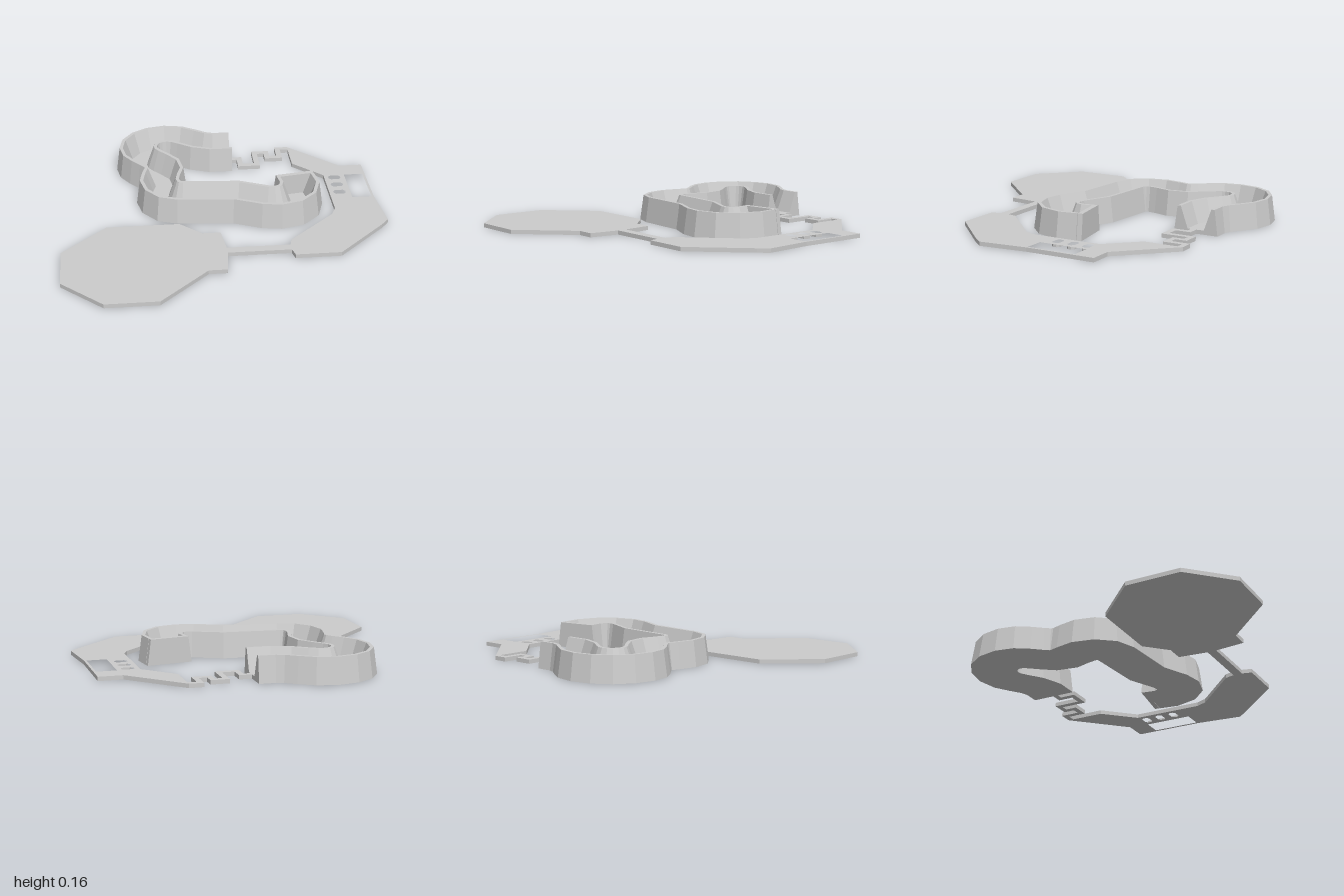
import * as THREE from 'three';

const PLATE = 0.025; // plate thickness
const WALL = 0.157; // channel wall height

const grey = () => new THREE.MeshStandardMaterial({ color: 0xcccccc, flatShading: true });

function addMesh(parent, name, geometry) {
  const mesh = new THREE.Mesh(geometry, grey());
  mesh.name = name;
  parent.add(mesh);
  return mesh;
}

// Sweeps a closed (side, height) profile along a flat (x, z) path with mitred corners.
// caps lists the quads of profile indices that close both ends.
function sweep(path, profile, caps) {
  const pts = path.map(([x, z]) => new THREE.Vector2(x, z));
  const dirs = pts.slice(1).map((p, i) => p.clone().sub(pts[i]).normalize());
  const rings = pts.map((p, i) => {
    const a = dirs[Math.max(i - 1, 0)];
    const b = dirs[Math.min(i, dirs.length - 1)];
    const t = a.clone().add(b).normalize();
    const mitre = 1 / t.dot(a);
    return profile.map(([s, y]) => [p.x - t.y * s * mitre, y, p.y + t.x * s * mitre]);
  });
  const pos = [];
  const quad = (a, b, c, d) => pos.push(...a, ...b, ...c, ...a, ...c, ...d);
  const n = profile.length;
  for (let i = 0; i < rings.length - 1; i++) {
    for (let j = 0; j < n; j++) {
      const k = (j + 1) % n;
      quad(rings[i][j], rings[i][k], rings[i + 1][k], rings[i + 1][j]);
    }
  }
  const first = rings[0];
  const last = rings[rings.length - 1];
  for (const [a, b, c, d] of caps) {
    quad(first[d], first[c], first[b], first[a]);
    quad(last[a], last[b], last[c], last[d]);
  }
  const geometry = new THREE.BufferGeometry();
  geometry.setAttribute('position', new THREE.Float32BufferAttribute(pos, 3));
  geometry.computeVertexNormals();
  return geometry;
}

const outline = (points) => points.map(([x, z]) => new THREE.Vector2(x, -z));

// Rectangular hole with chamfered corners
function slot(x0, x1, z0, z1, c) {
  return new THREE.Path(outline([
    [x0 + c, z0], [x1 - c, z0], [x1, z0 + c], [x1, z1 - c],
    [x1 - c, z1], [x0 + c, z1], [x0, z1 - c], [x0, z0 + c],
  ]));
}

function plateGeometry(points, holes = []) {
  const shape = new THREE.Shape(outline(points));
  shape.holes.push(...holes);
  const geometry = new THREE.ExtrudeGeometry(shape, { depth: PLATE, bevelEnabled: false });
  return geometry.rotateX(-Math.PI / 2);
}

export function createModel() {
  const model = new THREE.Group();
  model.name = 'courseLayout';

  // Winding open-topped channel
  const course = [
    [0.12, -0.713], [-0.005, -0.713], [-0.09, -0.745], [-0.165, -0.80], [-0.23, -0.842],
    [-0.305, -0.857], [-0.378, -0.842], [-0.438, -0.803], [-0.478, -0.743], [-0.492, -0.668],
    [-0.48, -0.602], [-0.444, -0.545], [-0.396, -0.487], [-0.353, -0.428], [-0.342, -0.358],
    [-0.364, -0.283], [-0.38, -0.2], [-0.364, -0.124], [-0.322, -0.07], [-0.257, -0.045],
    [0.09, -0.016], [0.2, 0.034], [0.262, 0.062], [0.337, 0.075], [0.412, 0.054],
    [0.467, 0.0], [0.493, -0.085], [0.48, -0.178],
  ];
  const channelProfile = [
    [-0.142, 0], [-0.121, WALL], [-0.1, WALL], [-0.053, PLATE],
    [0.053, PLATE], [0.1, WALL], [0.121, WALL], [0.142, 0],
  ];
  addMesh(model, 'channel', sweep(course, channelProfile, [[0, 1, 2, 3], [0, 3, 4, 7], [4, 5, 6, 7]]));

  // Solid wall that closes the far end of the channel
  const wallProfile = [[-0.142, 0], [-0.121, WALL], [0.121, WALL], [0.142, 0]];
  addMesh(model, 'endWall', sweep([[0.48, -0.178], [0.475, -0.208]], wallProfile, [[0, 1, 2, 3]]));

  // Zigzag walkway from the open end of the channel
  const zigzag = [
    [0.12, -0.7], [0.178, -0.7], [0.178, -0.603], [0.288, -0.603], [0.288, -0.773],
    [0.367, -0.773], [0.367, -0.7], [0.45, -0.7], [0.45, -0.82], [0.52, -0.82],
  ];
  const w = 0.0175;
  const walkProfile = [[-w, 0], [-w, PLATE], [w, PLATE], [w, 0]];
  addMesh(model, 'zigzagPath', sweep(zigzag, walkProfile, [[0, 1, 2, 3]]));

  // Bent plate with one large window and three small slots
  const holes = [slot(0.835, 0.957, -0.4, -0.092, 0.001)];
  for (const z of [-0.368, -0.27, -0.17]) holes.push(slot(0.727, 0.805, z - 0.025, z + 0.025, 0.014));
  addMesh(model, 'bentPlate', plateGeometry([
    [0.52, -0.837], [0.825, -0.53], [0.972, -0.53], [0.972, -0.09], [1, 0.21], [0.95, 0.27],
    [0.65, 0.57], [0.375, 0.57], [0.36, 0.51], [0.36, 0.453], [0.375, 0.395], [0.67, 0.11],
    [0.7, 0.04], [0.7, -0.405], [0.52, -0.59],
  ], holes));

  // Narrow bridge between the plates
  addMesh(model, 'bridge', plateGeometry([[-0.02, 0.453], [0.36, 0.453], [0.36, 0.51], [-0.02, 0.51]]));

  // Large eight-sided plate with its collar
  addMesh(model, 'octagonPlate', plateGeometry([
    [-1, 0.42], [-0.725, 0.143], [-0.28, 0.143], [-0.15, 0.27], [-0.04, 0.27], [-0.02, 0.453],
    [-0.02, 0.51], [-0.04, 0.697], [-0.15, 0.697], [-0.445, 0.995], [-0.76, 0.995], [-1, 0.757],
  ]));

  return model;
}
